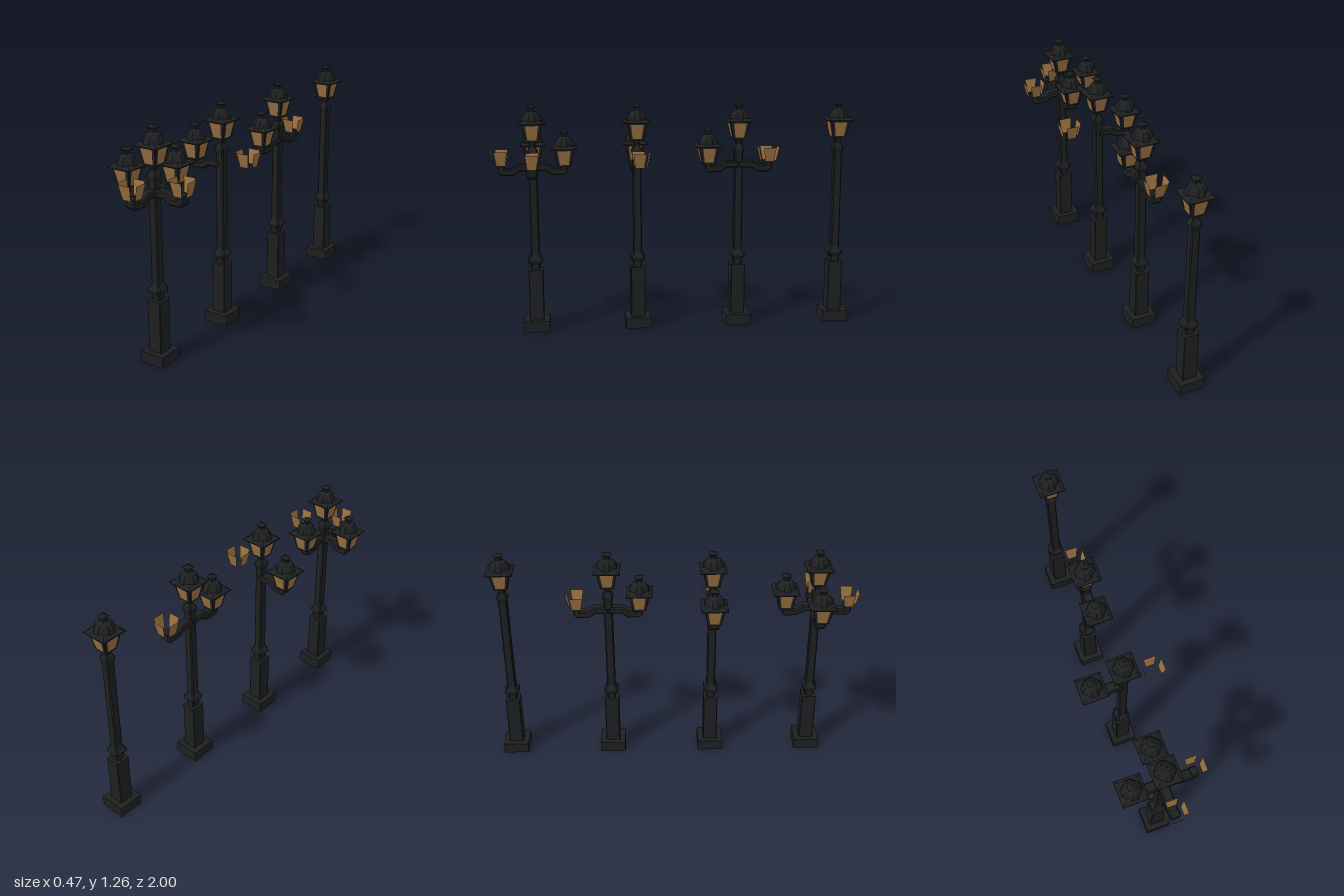
import * as THREE from 'three';

const metal = new THREE.MeshStandardMaterial({ color: 0x1e1f20 });
metal.name = 'black iron';
const amber = new THREE.MeshStandardMaterial({ color: 0x9a7040, side: THREE.DoubleSide });
amber.name = 'amber glass';

// Stacks square sections [half width, y]; k cuts the corners (0 square, 1 diamond)
function stack(profile, k) {
  const s = 1 - k;
  const ring = [[-s, 1], [s, 1], [1, s], [1, -s], [s, -1], [-s, -1], [-1, -s], [-1, s]];
  const pos = [];
  const put = (i, j) => {
    const [h, y] = profile[i], [x, z] = ring[j % 8];
    pos.push(x * h, y, z * h);
  };
  for (let i = 0; i < profile.length - 1; i++) {
    for (let j = 0; j < 8; j++) {
      put(i, j); put(i, j + 1); put(i + 1, j);
      put(i, j + 1); put(i + 1, j + 1); put(i + 1, j);
    }
  }
  const g = new THREE.BufferGeometry();
  g.setAttribute('position', new THREE.Float32BufferAttribute(pos, 3));
  g.computeVertexNormals();
  return g;
}

// Thin tapered pane facing +z
function paneGeometry() {
  const g = new THREE.PlaneGeometry(1, 1);
  const p = g.attributes.position;
  for (let i = 0; i < p.count; i++) {
    const top = p.getY(i) > 0;
    p.setXYZ(i, p.getX(i) * (top ? 0.07 : 0.048), top ? 1.008 : 0.93, top ? 0.0565 : 0.04);
  }
  g.computeVertexNormals();
  return g;
}

// Bent arm reaching along +x
function armGeometry() {
  const outline = [[0, 0.897], [0.07, 0.897], [0.105, 0.873], [0.172, 0.873], [0.189, 0.89],
    [0.189, 0.932], [0.152, 0.932], [0.152, 0.911], [0.118, 0.911], [0.078, 0.934], [0, 0.934]];
  const shape = new THREE.Shape(outline.map(([x, y]) => new THREE.Vector2(x, y)));
  const g = new THREE.ExtrudeGeometry(shape, {
    depth: 0.042, bevelEnabled: true, bevelSegments: 1,
    bevelThickness: 0.007, bevelSize: 0.007, bevelOffset: -0.007,
  });
  return g.translate(0, 0, -0.021);
}

const geo = {
  base: stack([[0, 0.03], [0.042, 0.03], [0.042, 0], [0.071, 0], [0.071, 0.06], [0, 0.06]], 0),
  pedestal: stack([[0.04, 0.05], [0.04, 0.345], [0, 0.345]], 0.08),
  shaft: stack([[0.024, 0.34], [0.024, 0.372], [0.04, 0.395], [0.04, 0.405], [0.024, 0.43],
    [0.023, 0.97], [0.03, 0.995], [0.029, 1.005], [0.014, 1.03], [0.022, 1.056], [0, 1.056]], 0.25),
  frame: stack([[0, 0.918], [0.036, 0.918], [0.056, 1.018], [0, 1.018]], 0.05),
  brim: stack([[0, 1.015], [0.0715, 1.015], [0.0705, 1.02], [0.048, 1.034], [0, 1.034]], 0),
  dome: stack([[0.057, 1.025], [0.048, 1.055], [0.036, 1.072], [0.014, 1.084], [0, 1.084]], 0.7),
  finial: stack([[0.015, 1.08], [0.011, 1.092], [0.023, 1.106], [0.008, 1.116], [0, 1.12]], 0.1),
  pane: paneGeometry(),
  arm: armGeometry(),
};

function add(parent, name, material = metal) {
  const m = new THREE.Mesh(geo[name], material);
  m.name = name;
  parent.add(m);
  return m;
}

function makeLamp(complete) {
  const lamp = new THREE.Group();
  lamp.name = complete ? 'lantern' : 'lanternPanes';
  for (let i = 0; i < 4; i++) add(lamp, 'pane', amber).rotation.y = i * Math.PI / 2;
  if (complete) ['frame', 'brim', 'dome', 'finial'].forEach((n) => add(lamp, n));
  return lamp;
}

// branches: [quarter turns from +x, has arm, has complete lantern]
function makePost(branches) {
  const post = new THREE.Group();
  post.name = 'lampPost';
  ['base', 'pedestal', 'shaft'].forEach((n) => add(post, n));
  const top = makeLamp(true);
  top.position.y = 0.137;
  post.add(top);
  for (const [turn, hasArm, complete] of branches) {
    const branch = new THREE.Group();
    branch.name = 'branch';
    branch.rotation.y = turn * Math.PI / 2;
    if (hasArm) add(branch, 'arm');
    const lamp = makeLamp(complete);
    lamp.position.x = 0.17;
    branch.add(lamp);
    post.add(branch);
  }
  return post;
}

export function createModel() {
  const model = new THREE.Group();
  model.name = 'streetLamps';
  const row = [
    [[0, true, false], [1, true, true], [2, true, true], [3, true, false]],
    [[0, false, false], [2, true, true]],
    [[1, true, false], [3, true, true]],
    [],
  ];
  row.forEach((branches, i) => {
    const post = makePost(branches);
    post.position.set(0.0075, 0, 0.772 - i * 0.567);
    model.add(post);
  });
  return model;
}
